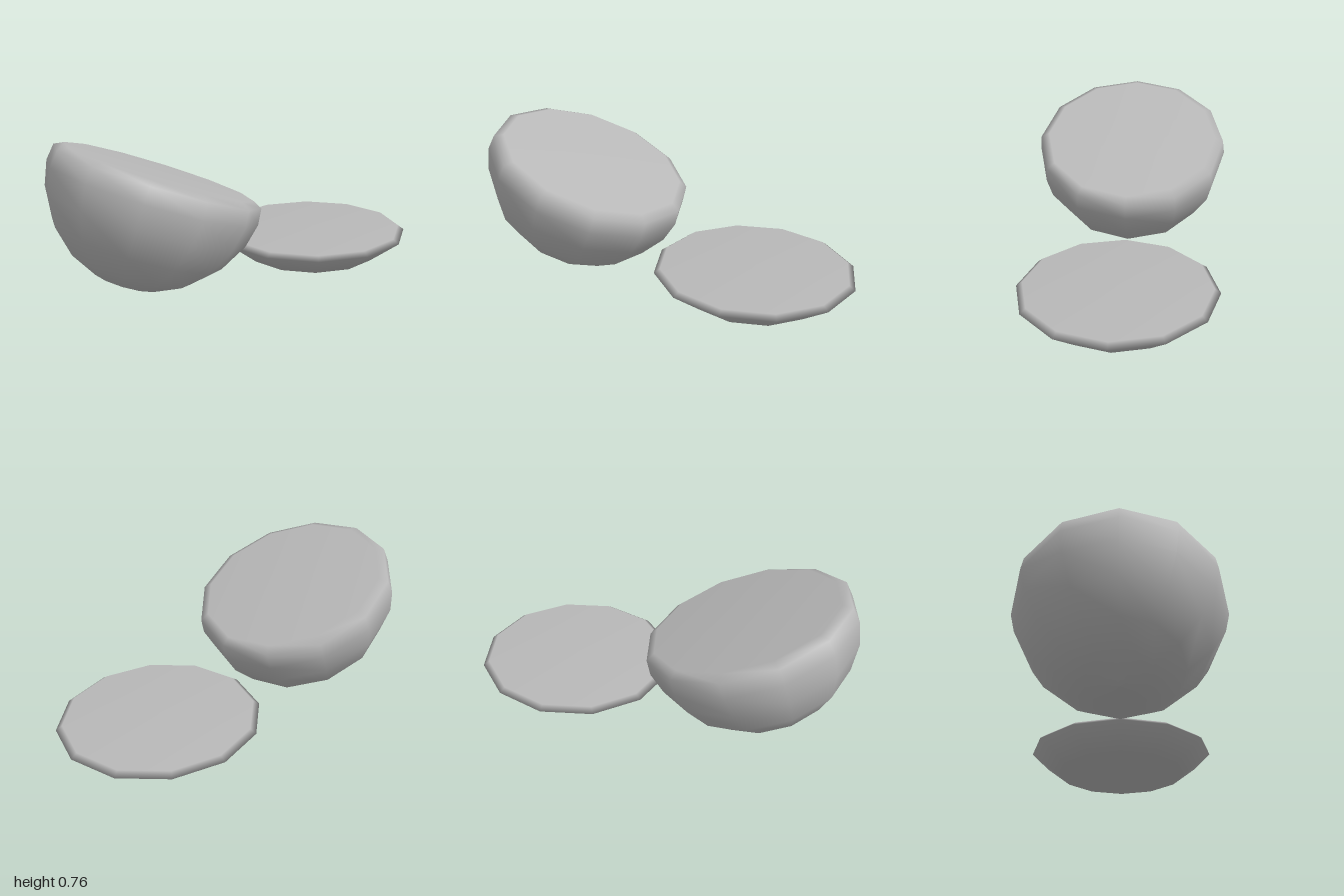
import * as THREE from 'three';

const SIDES = 12;
const DEPTH = 0.948; // the round is slightly narrower front to back

// Solid of revolution from [radius, height] pairs, listed bottom to top
function turned(name, profile, material) {
  const points = profile.map(([r, y]) => new THREE.Vector2(r, y));
  const mesh = new THREE.Mesh(new THREE.LatheGeometry(points, SIDES), material);
  mesh.name = name;
  mesh.scale.z = DEPTH;
  return mesh;
}

export function createModel() {
  const model = new THREE.Group();
  model.name = 'cutRound';
  const grey = new THREE.MeshStandardMaterial({ color: 0xb8b8b8 });
  grey.name = 'plain grey';

  // Large half, leaning back with its cut face tilted towards the slice
  const half = turned('half', [
    [0, -0.588], [0.171, -0.561], [0.315, -0.488], [0.438, -0.372], [0.518, -0.228],
    [0.545, -0.107], [0.535, -0.024], [0.487, 0], [0, 0],
  ], grey);
  half.position.set(-0.435, 0.582, 0);
  half.rotation.z = THREE.MathUtils.degToRad(-20.8);
  model.add(half);

  // Thin slice lying flat with a bevelled edge
  const slice = turned('slice', [
    [0, 0], [0.361, 0.007], [0.52, 0.124], [0.488, 0.147], [0, 0.148],
  ], grey);
  slice.position.set(0.48, 0, 0);
  model.add(slice);

  return model;
}
